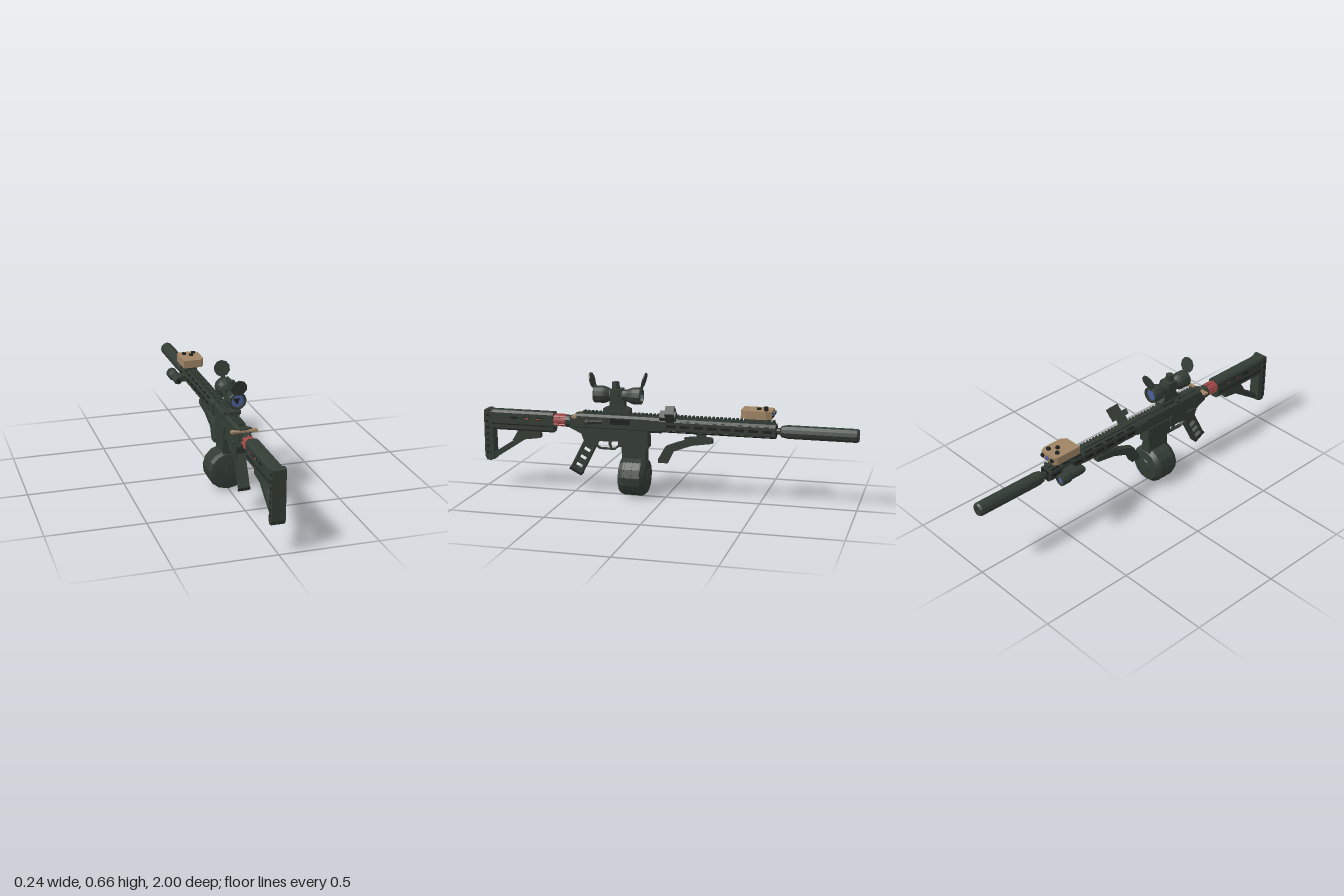
import * as THREE from 'three';
import { toCreasedNormals } from 'three/addons/utils/BufferGeometryUtils.js';

const mat = (name, color) => Object.assign(new THREE.MeshStandardMaterial({ color }), { name });
const GREEN = mat('dark green metal', 0x333c35);
const BLACK = mat('black', 0x1b1f1d);
const TAN = mat('tan', 0x9f8464);
const RED = mat('red', 0xa24a48);
const BLUE = mat('blue glass', 0x4d60a0);

export function createModel() {
  const root = new THREE.Group();
  root.name = 'rifle';
  const body = new THREE.Group();
  body.name = 'body';
  body.position.x = -0.004;
  root.add(body);

  const add = (name, geo, material = GREEN, parent = body) => {
    const mesh = new THREE.Mesh(toCreasedNormals(geo, 0.35), material);
    mesh.name = name;
    parent.add(mesh);
    return mesh;
  };
  // Box given by its size and centre
  const box = (name, w, h, d, x, y, z, material, parent) => {
    const m = add(name, new THREE.BoxGeometry(w, h, d), material, parent);
    m.position.set(x, y, z);
    return m;
  };
  const outline = (pts) => new THREE.Shape(pts.map(([a, b]) => new THREE.Vector2(a, b)));
  const extrude = (pts, depth, holes = []) => {
    const s = outline(pts);
    holes.forEach((h) => s.holes.push(outline(h)));
    return new THREE.ExtrudeGeometry(s, { depth, bevelEnabled: false });
  };
  // Side outline in (z, y), extruded across x
  const side = (name, pts, width, material, holes) =>
    add(name, extrude(pts, width, holes).rotateY(-Math.PI / 2).translate(width / 2, 0, 0), material);
  // Cross-section in (x, y), extruded from z0 to z1
  const along = (name, pts, z0, z1, material, holes, parent) =>
    add(name, extrude(pts, z1 - z0, holes).translate(0, 0, z0), material, parent);
  // Turned part around the z axis, profile points are [radius, z] with z rising on the outside
  const turned = (name, pts, x, y, sides, material, parent) => {
    const g = new THREE.LatheGeometry(pts.map(([r, z]) => new THREE.Vector2(r, z)), sides);
    const m = add(name, g.rotateX(Math.PI / 2), material, parent);
    m.position.set(x, y, 0);
    return m;
  };
  // Rectangle with cut corners
  const chamfered = (w, y0, y1, c) => [[-w + c, y0], [w - c, y0], [w, y0 + c], [w, y1 - c],
    [w - c, y1], [-w + c, y1], [-w, y1 - c], [-w, y0 + c]];

  // Suppressor and muzzle
  turned('suppressor', [[0, -0.97], [0.014, -0.97], [0.014, -1], [0.03, -1], [0.036, -0.99],
    [0.036, -0.64], [0.03, -0.61], [0.02, -0.6], [0, -0.6]], 0, 0.388, 12);
  turned('muzzleBore', [[0, -0.973], [0.0135, -0.972]], 0, 0.388, 12, BLACK);
  turned('barrel', [[0, -0.62], [0.017, -0.61], [0.017, -0.5], [0, -0.5]], 0, 0.388, 10);

  // Handguard with slots on every face
  along('handguard', chamfered(0.035, 0.352, 0.424, 0.014), -0.58, 0.08);
  along('handguardCollar', chamfered(0.038, 0.347, 0.428, 0.014), 0.02, 0.08);
  box('handguardMouth', 0.048, 0.05, 0.004, 0, 0.388, -0.581, BLACK);
  for (let i = 0; i < 8; i++) {
    const z = -0.035 - i * 0.072;
    for (const s of [-1, 1]) {
      box('sideSlot', 0.004, 0.014, 0.05, s * 0.0345, 0.388, z, BLACK);
      const upper = box('upperSlot', 0.004, 0.011, 0.05, s * 0.028, 0.417, z, BLACK);
      upper.rotation.z = s * Math.PI / 4;
      const lower = box('lowerSlot', 0.004, 0.011, 0.05, s * 0.028, 0.359, z, BLACK);
      lower.rotation.z = -s * Math.PI / 4;
    }
    box('bottomSlot', 0.014, 0.004, 0.05, 0, 0.3525, z, BLACK);
  }

  // Top rail and teeth
  box('railBase', 0.026, 0.012, 1.03, 0, 0.426, -0.06);
  for (let z = -0.565; z < 0.45; z += 0.021) box('railTooth', 0.038, 0.011, 0.011, 0, 0.436, z);

  // Receiver
  along('upperReceiver', chamfered(0.03, 0.345, 0.427, 0.012), 0.08, 0.49);
  side('lowerReceiver', [[0.1, 0.37], [0.1, 0.27], [0.25, 0.27], [0.255, 0.29], [0.36, 0.285],
    [0.39, 0.25], [0.435, 0.26], [0.455, 0.32], [0.52, 0.35], [0.52, 0.41], [0.48, 0.41], [0.47, 0.375]], 0.052);
  side('magazineWell', [[0.092, 0.352], [0.09, 0.262], [0.25, 0.262], [0.25, 0.32], [0.235, 0.352]], 0.064);
  box('ejectionPort', 0.008, 0.03, 0.11, 0.029, 0.395, 0.24, BLACK);
  box('portCover', 0.01, 0.012, 0.12, 0.031, 0.372, 0.24);
  box('brassDeflector', 0.022, 0.028, 0.03, 0.032, 0.398, 0.32);
  const assist = new THREE.Group();
  assist.name = 'forwardAssist';
  assist.position.set(0.038, 0.392, 0.385);
  assist.rotation.y = 0.25;
  body.add(assist);
  turned('assistButton', [[0, -0.05], [0.012, -0.05], [0.012, 0.02], [0.016, 0.025], [0.016, 0.045], [0, 0.045]],
    0, 0, 8, GREEN, assist);
  for (const s of [-1, 1]) {
    box('selector', 0.012, 0.012, 0.04, s * 0.031, 0.328, 0.4);
    box('receiverPin', 0.066, 0.012, 0.012, 0, 0.32, 0.12 + (s + 1) * 0.16);
  }
  box('boltCatch', 0.012, 0.04, 0.02, -0.031, 0.34, 0.26);
  box('magazineRelease', 0.01, 0.016, 0.022, 0.033, 0.315, 0.262);

  // Charging handle
  box('chargingHandle', 0.128, 0.009, 0.018, 0, 0.416, 0.488, TAN);
  for (const s of [-1, 1]) box('chargingLatch', 0.02, 0.011, 0.026, s * 0.057, 0.416, 0.484, TAN);

  // Trigger and guard
  side('triggerGuard', [[0.25, 0.28], [0.25, 0.262], [0.275, 0.238], [0.36, 0.238], [0.385, 0.255], [0.385, 0.265],
    [0.358, 0.246], [0.28, 0.246], [0.258, 0.268], [0.258, 0.28]], 0.018);
  side('trigger', [[0.295, 0.29], [0.3, 0.265], [0.295, 0.247], [0.303, 0.247], [0.312, 0.265], [0.312, 0.29]], 0.012);

  // Skeleton grip, drawn along its slanted axis
  const onGrip = ([u, v]) => [0.415 + 0.075 * u + 0.062 * v, 0.262 - 0.145 * u + 0.032 * v];
  const windowAt = (u) => [[u, -0.3], [u + 0.2, -0.3], [u + 0.2, 0.3], [u, 0.3]].map(onGrip);
  side('gripFrame', [[-0.12, -0.5], [1.05, -0.5], [1.05, 0.5], [0, 0.5], [-0.12, 0.3]].map(onGrip), 0.042,
    GREEN, [0.12, 0.42, 0.72].map(windowAt));
  side('gripCap', [[1.0, -0.53], [1.07, -0.53], [1.07, 0.53], [1.0, 0.53]].map(onGrip), 0.044, BLACK);

  // Drum magazine
  box('magazineNeck', 0.056, 0.12, 0.13, 0, 0.225, 0.168);
  turned('drum', [[0, 0.098], [0.055, 0.094], [0.085, 0.1], [0.104, 0.12], [0.104, 0.215], [0.094, 0.238],
    [0.075, 0.243], [0, 0.243]], 0, 0.104, 15);
  turned('drumFrontBoss', [[0, 0.088], [0.035, 0.09], [0.042, 0.1], [0, 0.1]], 0, 0.104, 10);
  turned('drumHub', [[0, 0.24], [0.024, 0.24], [0.022, 0.251], [0, 0.251]], 0, 0.104, 8);
  box('drumKey', 0.016, 0.045, 0.008, 0, 0.127, 0.247);
  for (const z of [0.128, 0.168, 0.208]) {
    turned('drumBand', [[0.1, z - 0.006], [0.1055, z - 0.004], [0.1055, z + 0.004], [0.1, z + 0.006]], 0, 0.104, 15);
  }

  // Ribbed tube joining the receiver and the stock
  turned('endPlate', [[0, 0.515], [0.031, 0.515], [0.034, 0.53], [0.034, 0.545], [0, 0.545]], 0, 0.38, 10);
  turned('stockTube', [[0, 0.54], [0.029, 0.54], [0.029, 0.63], [0, 0.63]], 0, 0.382, 12, RED);
  for (let i = 0; i < 8; i++) {
    const a = (i / 8) * Math.PI * 2;
    const rib = box('tubeRib', 0.009, 0.009, 0.075, Math.sin(a) * 0.029, 0.382 + Math.cos(a) * 0.029, 0.58, RED);
    rib.rotation.z = -a;
  }

  // Stock
  along('stockBody', chamfered(0.034, 0.316, 0.423, 0.012), 0.61, 0.965);
  side('stockStrut', [[0.69, 0.318], [0.69, 0.28], [0.775, 0.268], [0.955, 0.15], [0.955, 0.185], [0.8, 0.287],
    [0.79, 0.318]], 0.034);
  side('stockBrace', [[0.71, 0.318], [0.83, 0.262], [0.845, 0.262], [0.81, 0.318]], 0.046);
  side('buttFrame', [[0.955, 0.42], [0.95, 0.15], [0.975, 0.15], [0.98, 0.424]], 0.062);
  side('buttPad', [[0.972, 0.426], [0.965, 0.145], [0.99, 0.148], [1.0, 0.17], [1.0, 0.42], [0.992, 0.426]], 0.069);
  for (const s of [-1, 1]) {
    box('stockLine', 0.004, 0.006, 0.33, s * 0.0335, 0.35, 0.79, BLACK);
    [0.69, 0.76, 0.83].forEach((z, i) => {
      box('stockSlot', 0.004, 0.012, 0.04, s * 0.0335, 0.387, z, BLACK);
      if (i < 2) box('slotInset', 0.006, 0.006, 0.03, s * 0.0335, 0.386, z, RED);
    });
    for (let i = 0; i < 7; i++) box('padGroove', 0.004, 0.012, 0.014, s * 0.034, 0.19 + i * 0.034, 0.982, BLACK);
  }

  // Angled foregrip
  side('angledForegrip', [[-0.25, 0.327], [-0.25, 0.305], [-0.14, 0.288], [-0.04, 0.25], [-0.01, 0.186],
    [0.04, 0.186], [0.038, 0.208], [0.0, 0.275], [-0.06, 0.298], [-0.15, 0.328]], 0.034);
  side('foregripBase', [[-0.245, 0.333], [-0.245, 0.322], [-0.14, 0.322], [-0.1, 0.318], [-0.1, 0.326], [-0.15, 0.333]], 0.026);
  box('foregripMount', 0.018, 0.03, 0.05, 0, 0.34, -0.19);

  // Scope, its mount, turrets and flip caps
  turned('scopeTube', [[0, 0.145], [0.034, 0.145], [0.034, 0.13], [0.043, 0.13], [0.045, 0.135], [0.045, 0.175],
    [0.031, 0.21], [0.031, 0.3], [0.042, 0.32], [0.046, 0.335], [0.046, 0.38], [0.043, 0.386],
    [0.034, 0.386], [0.034, 0.372], [0, 0.372]], 0, 0.533, 12);
  turned('rearLens', [[0.033, 0.374], [0, 0.375]], 0, 0.533, 10, BLUE);
  turned('frontLens', [[0, 0.142], [0.033, 0.143]], 0, 0.533, 10, BLUE);
  along('reticle', [[-0.024, 0.546], [0, 0.512], [0.012, 0.546]], 0.375, 0.377, BLACK);
  side('scopeMount', [[0.19, 0.44], [0.335, 0.44], [0.335, 0.462], [0.3, 0.475], [0.3, 0.515], [0.22, 0.515],
    [0.22, 0.475], [0.19, 0.462]], 0.04);
  box('mountClamp', 0.058, 0.02, 0.13, 0, 0.446, 0.262);
  for (const x of [-0.038, 0.036]) box('clampNut', 0.014, 0.018, 0.02, x, 0.443, 0.29);
  box('turretBlock', 0.064, 0.06, 0.06, 0, 0.538, 0.262);
  const turret = add('topTurret', new THREE.CylinderGeometry(0.02, 0.022, 0.045, 10));
  turret.position.set(0, 0.58, 0.27);
  const sideTurret = add('sideTurret', new THREE.CylinderGeometry(0.018, 0.018, 0.03, 10).rotateZ(Math.PI / 2));
  sideTurret.position.set(0.036, 0.533, 0.262);
  for (const [name, y, z, tilt, hingeZ] of [['rearCap', 0.606, 0.399, 0.25, 0.383], ['frontCap', 0.618, 0.117, -0.26, 0.134]]) {
    const cap = add(name, new THREE.CylinderGeometry(0.042, 0.042, 0.006, 10).rotateX(Math.PI / 2));
    cap.position.set(0, y, z);
    cap.rotation.x = tilt;
    box('capHinge', 0.022, 0.016, 0.014, 0, 0.574, hingeZ);
  }

  // Canted dot sight
  const dot = new THREE.Group();
  dot.name = 'cantedSight';
  dot.position.set(0.079, 0.465, 0);
  dot.rotation.z = -Math.PI / 4;
  body.add(dot);
  box('sightBase', 0.044, 0.03, 0.085, 0, -0.02, -0.027, GREEN, dot);
  along('sightHood', [[-0.026, -0.01], [0.026, -0.01], [0.026, 0.036], [-0.026, 0.036]], -0.068, -0.02, GREEN,
    [[[-0.019, -0.004], [0.019, -0.004], [0.019, 0.03], [-0.019, 0.03]]], dot);
  box('sightGlass', 0.038, 0.034, 0.004, 0, 0.013, -0.035, BLUE, dot);
  box('sightArm', 0.03, 0.04, 0.045, -0.004, -0.048, -0.03, GREEN, dot);

  // Laser box on the rail
  const laser = add('laserBox', extrude([[-0.058, 0.402], [0.04, 0.402], [0.06, 0.43], [0.06, 0.535],
    [0.045, 0.562], [-0.045, 0.562], [-0.058, 0.545]], 0.042).rotateX(-Math.PI / 2), TAN);
  laser.position.y = 0.456;
  box('laserClamp', 0.044, 0.02, 0.12, 0, 0.448, -0.48);
  for (const [x, z] of [[0.008, -0.49], [-0.025, -0.52], [0.03, -0.53]]) {
    const knob = add('laserButton', new THREE.CylinderGeometry(0.011, 0.012, 0.01, 8), BLACK);
    knob.position.set(x, 0.502, z);
  }
  for (const x of [-0.035, 0, 0.035]) {
    turned('laserAperture', [[0, -0.57], [0.011, -0.57], [0.011, -0.555], [0, -0.555]], x, 0.478, 8, x ? BLACK : BLUE);
  }

  // Flashlight on the side
  turned('flashlight', [[0, -0.55], [0.024, -0.55], [0.024, -0.562], [0.03, -0.56], [0.03, -0.51], [0.023, -0.495],
    [0.023, -0.425], [0.019, -0.41], [0, -0.41]], -0.086, 0.384, 10);
  turned('flashlightLens', [[0, -0.553], [0.023, -0.552]], -0.086, 0.384, 10, BLUE);
  turned('tailSwitch', [[0, -0.412], [0.012, -0.412], [0.012, -0.404], [0, -0.404]], -0.086, 0.384, 6, BLACK);
  box('flashlightMount', 0.04, 0.03, 0.06, -0.05, 0.384, -0.47);
  box('lightClampTop', 0.014, 0.02, 0.03, -0.036, 0.438, -0.44);

  return root;
}
